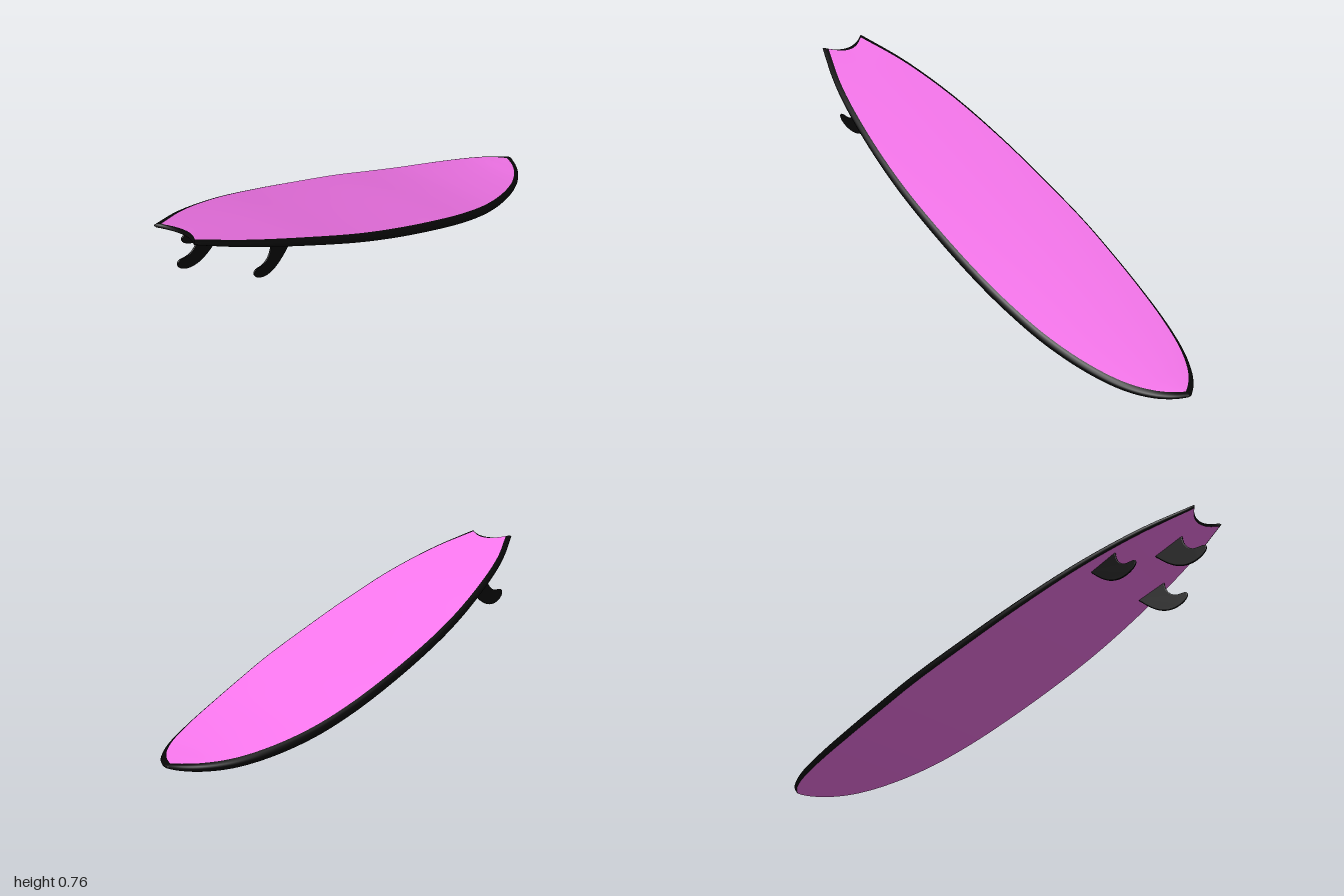
import * as THREE from 'three';

const mat = (color) => new THREE.MeshStandardMaterial({ color, side: THREE.DoubleSide });
const pink = mat(0xf676ec);
const black = mat(0x070707);

// The board lies at an angle: ALONG runs tail to nose, ACROSS runs to its +x rail
const ALONG = new THREE.Vector3(0.497, 0, -0.868);
const ACROSS = new THREE.Vector3(0.868, 0, 0.497);
const ROLL = 0.057;

// Stations from tail to nose: position along, half width, height
const spine = new THREE.CatmullRomCurve3([
  [-1.088, 0.112, 0.745], [-0.88, 0.202, 0.666], [-0.62, 0.272, 0.566], [-0.335, 0.316, 0.451],
  [-0.08, 0.332, 0.353], [0.2, 0.334, 0.251], [0.4, 0.32, 0.178], [0.6, 0.293, 0.113],
  [0.8, 0.246, 0.062], [0.956, 0.187, 0.032], [1.06, 0.122, 0.021], [1.12, 0.063, 0.019],
  [1.158, 0.008, 0.021],
].map((p) => new THREE.Vector3(...p)));

// Point on the board: q tail to nose, p rail to rail (-1..1), inset from the outline, lift off the mid-plane
function boardPoint(q, p, inset, lift) {
  const c = spine.getPoint(q), d = spine.getTangent(q);
  const slope = d.z / d.x;
  const shift = 0.042 * (1 - p * p) * (1 - q) ** 8 + inset * (1 - 2 * q);
  const t = p * Math.max(c.y - inset, 0);
  const thin = 0.4 + 0.6 * Math.max(0, Math.sin(Math.PI * q)) ** 0.7;
  const normal = new THREE.Vector3(0, 1, 0).addScaledVector(ALONG, -slope)
    .addScaledVector(ACROSS, -ROLL).normalize();
  return new THREE.Vector3(0, c.z + ROLL * t + slope * shift, 0)
    .addScaledVector(ALONG, c.x + shift).addScaledVector(ACROSS, t)
    .addScaledVector(normal, lift * thin);
}

// Smooth surface over u, v in 0..1
function surface(name, nu, nv, material, fn) {
  const pos = [], idx = [];
  for (let i = 0; i <= nu; i++) {
    for (let j = 0; j <= nv; j++) pos.push(...fn(i / nu, j / nv).toArray());
  }
  for (let i = 0; i < nu; i++) {
    for (let j = 0; j < nv; j++) {
      const a = i * (nv + 1) + j, b = a + nv + 1;
      idx.push(a, b, b + 1, a, b + 1, a + 1);
    }
  }
  const g = new THREE.BufferGeometry();
  g.setAttribute('position', new THREE.Float32BufferAttribute(pos, 3));
  g.setIndex(idx);
  g.computeVertexNormals();
  const mesh = new THREE.Mesh(g, material);
  mesh.name = name;
  return mesh;
}

// Rail cross-section from bottom to deck: inset, lift
const RAIL = [[0.008, -0.024], [0.003, -0.016], [0, -0.004], [0.003, 0.007], [0.01, 0.014], [0.018, 0.018]];

// Walk round the board edge: right rail, nose, left rail, tail
function edge(u) {
  const k = Math.min(3, Math.floor(u * 4)), f = u * 4 - k;
  return [[f, 1], [1, 1 - 2 * f], [1 - f, -1], [0, 2 * f - 1]][k];
}

// Swept-back fin blade; local x points to the tail, y out of the deck
function makeFin(name, s, t, y, scale) {
  const shape = new THREE.Shape();
  shape.moveTo(-0.075, 0.012);
  shape.lineTo(-0.075, 0);
  shape.bezierCurveTo(-0.045, -0.06, -0.005, -0.146, 0.08, -0.148);
  shape.bezierCurveTo(0.12, -0.148, 0.146, -0.132, 0.144, -0.114);
  shape.bezierCurveTo(0.14, -0.096, 0.112, -0.1, 0.09, -0.085);
  shape.bezierCurveTo(0.068, -0.068, 0.058, -0.04, 0.067, 0);
  shape.lineTo(0.067, 0.012);
  const g = new THREE.ExtrudeGeometry(shape, {
    depth: 0.002, bevelEnabled: true, bevelThickness: 0.003, bevelSize: 0.004,
    bevelOffset: -0.004, bevelSegments: 2, curveSegments: 14,
  });
  g.translate(0, 0, -0.001);
  const fin = new THREE.Mesh(g, black);
  fin.name = name;
  fin.scale.setScalar(scale);
  fin.position.set(0, y, 0).addScaledVector(ALONG, s).addScaledVector(ACROSS, t);
  // Yaw with toe-in, pitch along the board, slight outward cant
  const side = Math.sign(t);
  fin.rotation.set(0.05 * side - ROLL, Math.atan2(-0.868, -0.497) + 0.06 * side, 0.36, 'YZX');
  return fin;
}

export function createModel() {
  const group = new THREE.Group();
  group.name = 'surfboard';

  // Domed deck and flat bottom
  group.add(surface('deck', 90, 24, pink, (u, v) => {
    const p = 1 - 2 * v;
    const dome = 0.01 * (1 - p * p) * Math.sin(Math.PI * u);
    return boardPoint(u, p, 0.018, 0.018 + dome);
  }));
  group.add(surface('bottom', 90, 24, pink, (u, v) => boardPoint(u, 2 * v - 1, 0.008, -0.024)));

  // Black rail wrapped round the whole outline
  group.add(surface('rail', 360, RAIL.length - 1, black, (u, v) => {
    const [q, p] = edge(u);
    return boardPoint(q, p, ...RAIL[Math.round(v * (RAIL.length - 1))]);
  }));

  // Three fins under the tail
  group.add(makeFin('centerFin', -0.9, 0, 0.655, 1));
  for (const side of [1, -1]) {
    group.add(makeFin(side > 0 ? 'leftFin' : 'rightFin', -0.695, 0.19 * side, 0.574 + 0.012 * side, 0.95));
  }
  return group;
}
